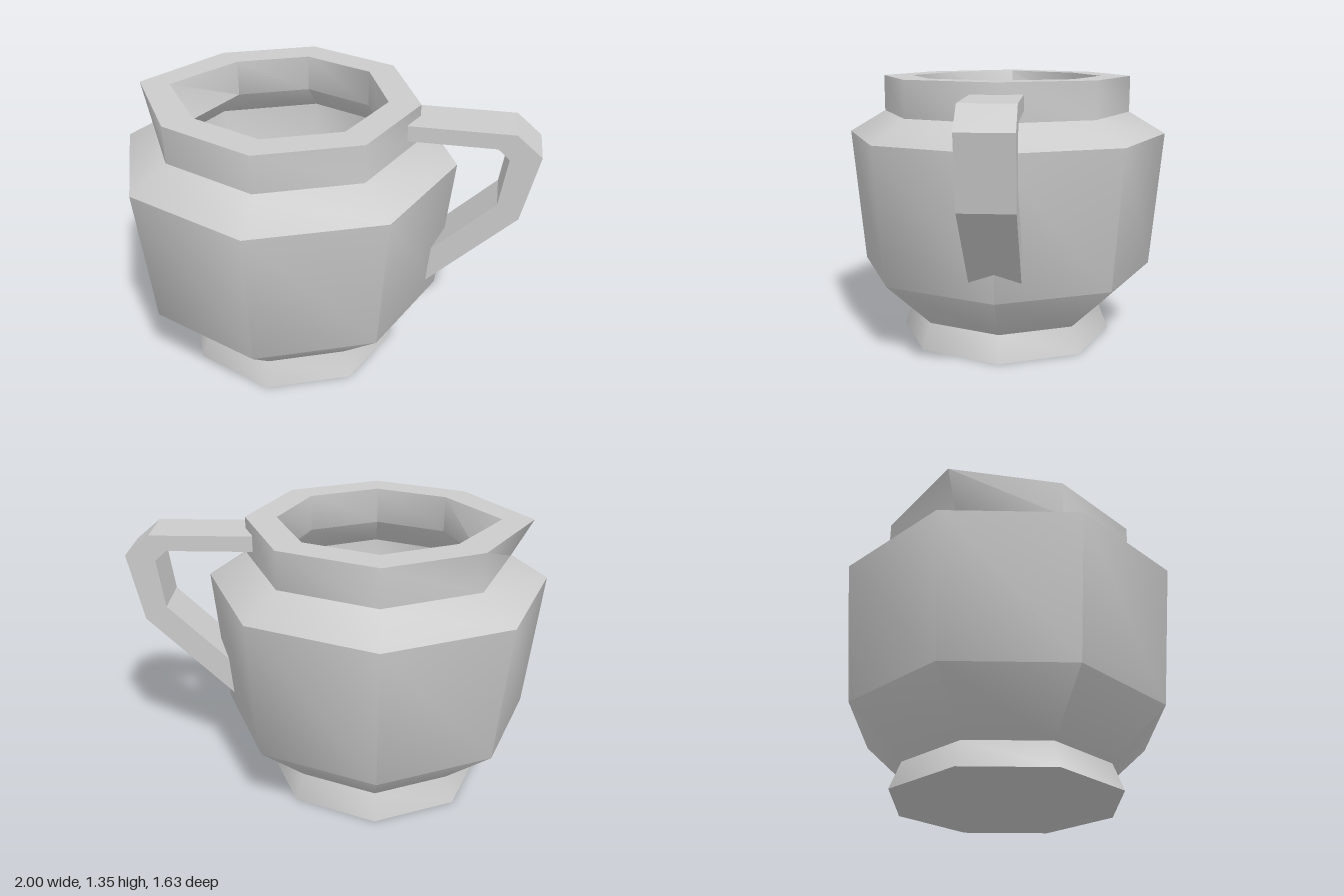
import * as THREE from 'three';
import { toCreasedNormals } from 'three/addons/utils/BufferGeometryUtils.js';

const CENTRE_X = -0.185;
const RIM_Y = 1.345;
const SPOUT = 0.095;

export function createModel() {
  const model = new THREE.Group();
  model.name = 'pitcher';
  const material = new THREE.MeshStandardMaterial({ color: 0xcccccc });

  // Eight-sided vessel: up the outside, over the rim, down the hollow inside
  const profile = [
    [0, 0], [0.55, 0], [0.5, 0.13], [0.755, 0.37], [0.815, 1.055],
    [0.63, 1.165], [0.63, RIM_Y],
    [0.48, RIM_Y], [0.48, 1.165], [0.665, 1.0], [0.61, 0.42], [0.375, 0.2], [0, 0.2],
  ].map(([r, y]) => new THREE.Vector2(r, y));
  const vessel = new THREE.LatheGeometry(profile, 8);

  // Pull the rim's -x corner outwards to make the pouring spout
  const pos = vessel.attributes.position;
  for (let i = 0; i < pos.count; i++) {
    const onRim = Math.abs(pos.getY(i) - RIM_Y) < 0.001;
    if (onRim && pos.getX(i) < -0.47 && Math.abs(pos.getZ(i)) < 0.01) {
      pos.setX(i, pos.getX(i) - SPOUT);
    }
  }
  const body = new THREE.Mesh(toCreasedNormals(vessel, 0.87), material);
  body.name = 'body';
  body.position.x = CENTRE_X;
  model.add(body);

  // Angular handle: flat outline extruded to a constant width
  const outline = [
    [0.4, 1.215], [0.805, 1.215], [0.86, 1.165], [0.83, 0.93], [0.545, 0.65],
    [0.53, 0.46], [0.935, 0.865], [1, 1.19], [0.88, 1.29], [0.4, 1.29],
  ].map(([x, y]) => new THREE.Vector2(x, y));
  const width = 0.24;
  const grip = new THREE.ExtrudeGeometry(new THREE.Shape(outline), { depth: width, bevelEnabled: false });
  grip.translate(0, 0, -width / 2);
  const handle = new THREE.Mesh(grip, material);
  handle.name = 'handle';
  model.add(handle);

  return model;
}
